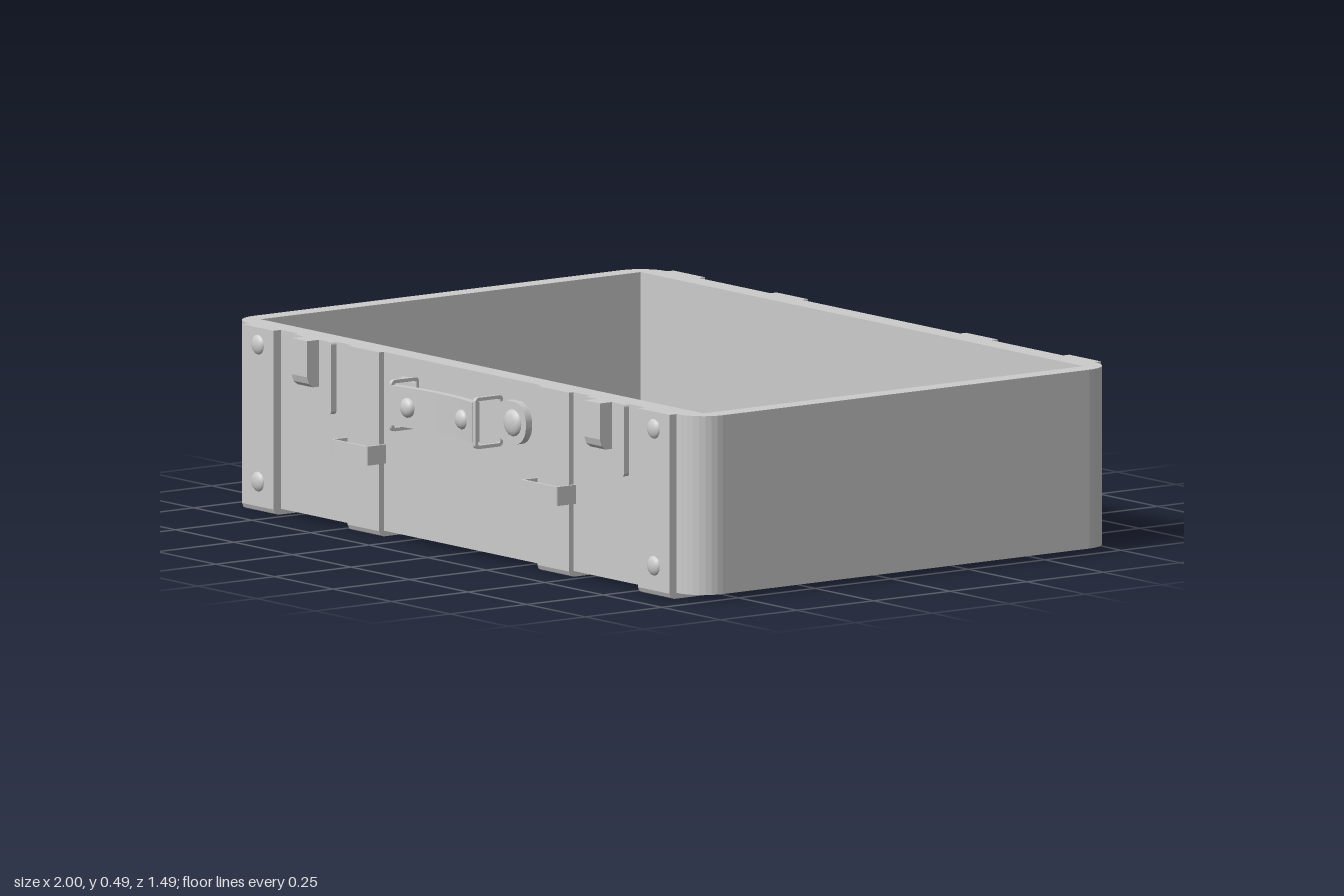
import * as THREE from 'three';

const material = new THREE.MeshStandardMaterial({ color: 0xcccccc, side: THREE.DoubleSide });
const TOP = 0.485, BASE = 0.015, FRONT = 0.635, BACK = -0.73;

function add(parent, name, geometry, x = 0, y = 0, z = 0) {
  const mesh = new THREE.Mesh(geometry, material);
  mesh.name = name;
  mesh.position.set(x, y, z);
  parent.add(mesh);
  return mesh;
}

function roundedRect(w, h, r, Type = THREE.Shape) {
  const s = new Type(), x = w / 2, y = h / 2;
  s.moveTo(-x + r, -y);
  s.lineTo(x - r, -y);
  s.absarc(x - r, -y + r, r, -Math.PI / 2, 0, false);
  s.absarc(x - r, y - r, r, 0, Math.PI / 2, false);
  s.absarc(-x + r, y - r, r, Math.PI / 2, Math.PI, false);
  s.absarc(-x + r, -y + r, r, Math.PI, Math.PI * 1.5, false);
  return s;
}

function extrude(shape, depth, curveSegments = 4) {
  return new THREE.ExtrudeGeometry(shape, { depth, bevelEnabled: false, curveSegments });
}

// Rectangular ring, centred in depth
function ring(w, h, t, r, depth) {
  const s = roundedRect(w, h, r);
  s.holes.push(roundedRect(w - 2 * t, h - 2 * t, Math.max(r - t, 0.002), THREE.Path));
  return extrude(s, depth).translate(0, 0, -depth / 2);
}

// Domed rivet head facing +z
function rivet(parent, name, x, y, z, radius, height) {
  const profile = [];
  for (let i = 0; i <= 5; i++) {
    const a = (i / 5) * Math.PI / 2;
    profile.push(new THREE.Vector2(Math.cos(a) * radius, Math.sin(a) * height));
  }
  add(parent, name, new THREE.LatheGeometry(profile, 16).rotateX(Math.PI / 2), x, y, z);
}

// U-shaped strap running down the front, under the base and up the back
function strap(width, front) {
  const c = 0.015, b = -0.75;
  const s = new THREE.Shape();
  [[front, TOP], [FRONT - 0.01, TOP], [FRONT - 0.01, 0.025], [BACK + 0.01, 0.025],
    [BACK + 0.01, TOP], [b, TOP], [b, c], [b + 0.005, 0.004], [b + c, 0],
    [front - c, 0], [front - 0.005, 0.004], [front, c]]
    .forEach(([z, y], i) => (i ? s.lineTo(z, y) : s.moveTo(z, y)));
  return extrude(s, width).translate(0, 0, -width / 2).rotateY(-Math.PI / 2);
}

// Sloping border between the inner walls and the floor
function floorSlope() {
  const loop = (x, back, front, y) => [[-x, y, front], [x, y, front], [x, y, back], [-x, y, back]];
  const upper = loop(0.945, -0.665, 0.575, 0.1);
  const lower = loop(0.88, -0.615, 0.525, 0.06);
  const p = [];
  for (let i = 0; i < 4; i++) {
    const j = (i + 1) % 4;
    p.push(...upper[i], ...upper[j], ...lower[j], ...upper[i], ...lower[j], ...lower[i]);
  }
  // Faces point up and inwards
  const g = new THREE.BufferGeometry();
  g.setAttribute('position', new THREE.Float32BufferAttribute(p, 3));
  g.computeVertexNormals();
  return g;
}

// Curved handle grip, bowed towards the case in the middle
function gripGeometry() {
  const g = new THREE.BoxGeometry(0.35, 0.105, 0.022, 16, 1, 1);
  const pos = g.attributes.position;
  for (let i = 0; i < pos.count; i++) {
    const t = pos.getX(i) / 0.175;
    pos.setZ(i, pos.getZ(i) + 0.018 * t * t);
  }
  g.computeVertexNormals();
  return g;
}

export function createModel() {
  const model = new THREE.Group();
  model.name = 'openCase';

  // Case walls, floor and sloped floor border
  const walls = roundedRect(2, FRONT - BACK, 0.085);
  const hole = new THREE.Path();
  [[-0.945, -0.5275], [-0.945, 0.7125], [0.945, 0.7125], [0.945, -0.5275]]
    .forEach(([x, y], i) => {
      // Hole offset: the cavity sits slightly nearer the middle of the depth
      const sy = y - 0.095;
      return i ? hole.lineTo(x, sy + 0.0025) : hole.moveTo(x, sy + 0.0025);
    });
  walls.holes.push(hole);
  add(model, 'caseWalls', extrude(walls, TOP - BASE).rotateX(-Math.PI / 2), 0, BASE, (FRONT + BACK) / 2);
  add(model, 'caseFloor', new THREE.BoxGeometry(1.89, 0.045, 1.24), 0, 0.0375, -0.045);
  add(model, 'floorSlope', floorSlope());

  for (const side of [1, -1]) {
    const label = side > 0 ? 'left' : 'right';

    // Wide straps near the corners with rivets
    add(model, label + 'CornerStrap', strap(0.135, 0.658), side * 0.845);
    for (const y of [0.44, 0.08]) rivet(model, label + 'StrapRivet', side * 0.845, y, 0.655, 0.027, 0.014);

    // Belt strap and its buckle loop
    add(model, label + 'BeltStrap', strap(0.135, 0.65), side * 0.405);
    add(model, label + 'BeltLoop', ring(0.155, 0.07, 0.008, 0.004, 0.05).rotateX(-Math.PI / 2), side * 0.405, 0.218, 0.663);

    // Latch plate and hasp
    add(model, label + 'LatchPlate', extrude(roundedRect(0.17, 0.19, 0.008), 0.025), side * 0.625, 0.39, 0.627);
    const hasp = new THREE.Shape();
    [[0.64, 0.362], [0.672, 0.362], [0.685, 0.372], [0.691, 0.39], [0.691, TOP], [0.64, TOP]]
      .forEach(([z, y], i) => (i ? hasp.lineTo(z, y) : hasp.moveTo(z, y)));
    add(model, label + 'LatchHasp', extrude(hasp, 0.066).translate(0, 0, -0.033).rotateY(-Math.PI / 2), side * 0.625);

    // Handle mount with rivet, and the wire loop that holds the grip
    add(model, label + 'HandleMount', extrude(roundedRect(0.13, 0.112, 0.05), 0.025, 8), side * 0.23, 0.376, 0.63);
    rivet(model, label + 'MountRivet', side * 0.24, 0.376, 0.654, 0.036, 0.016);
    add(model, label + 'HandleLoop', ring(0.09, 0.135, 0.009, 0.012, 0.011).rotateY(Math.PI / 2), side * 0.179, 0.374, 0.69);
    rivet(model, label + 'GripRivet', side * 0.117, 0.376, 0.724, 0.027, 0.018);
  }

  // Handle grip
  add(model, 'handleGrip', gripGeometry(), 0, 0.376, 0.708);
  return model;
}
